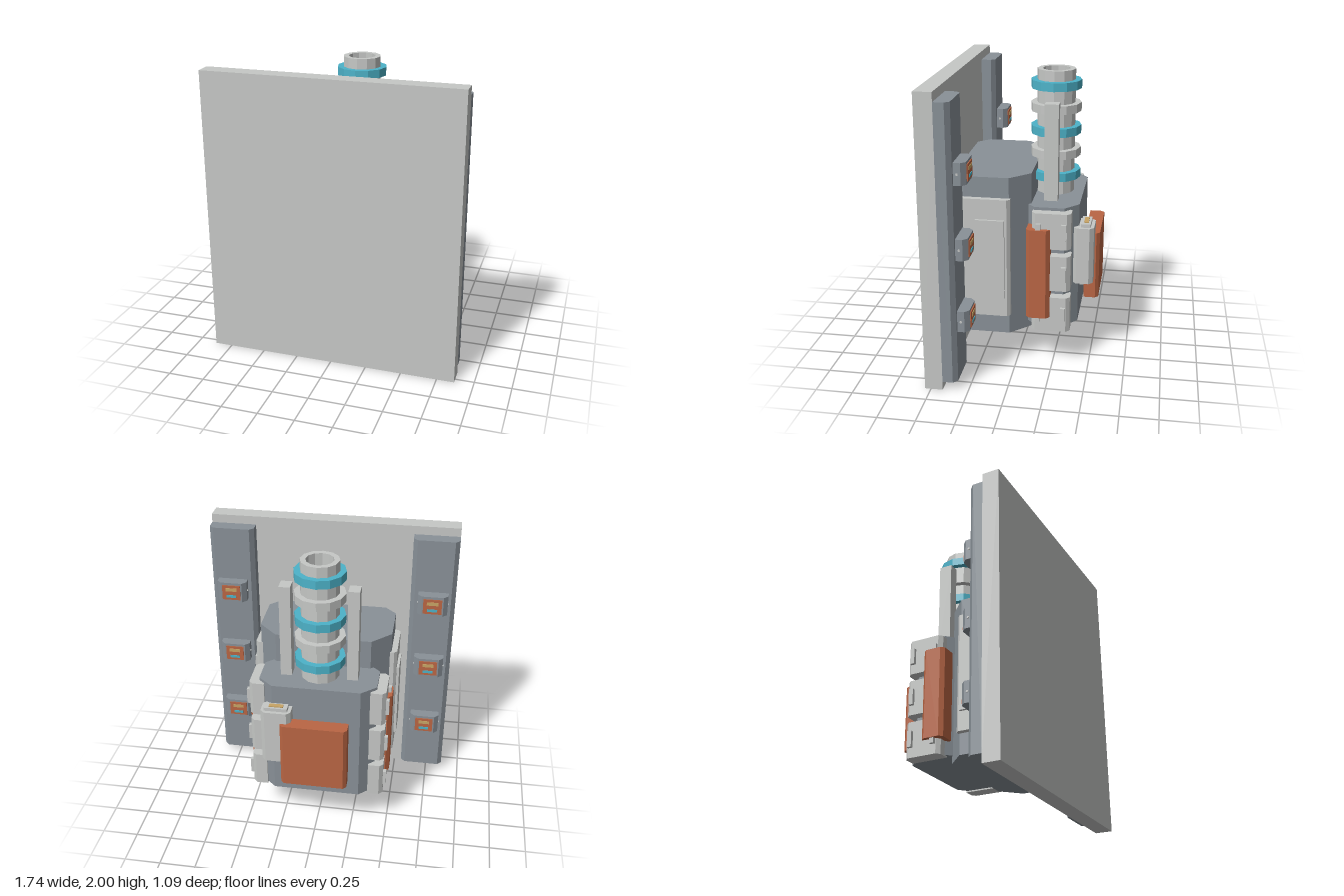
import * as THREE from 'three';

const mat = (name, color) => {
  const m = new THREE.MeshStandardMaterial({ color });
  m.name = name;
  return m;
};

export function createModel() {
  const light = mat('light grey', 0xc6c8c6);
  const dark = mat('slate grey', 0x899198);
  const orange = mat('rust orange', 0xba6644);
  const teal = mat('teal', 0x4db3c9);
  const tan = mat('tan', 0xc8a566);
  const root = new THREE.Group();
  root.name = 'wallMachine';

  const add = (name, geometry, material) => {
    const mesh = new THREE.Mesh(geometry, material);
    mesh.name = name;
    root.add(mesh);
    return mesh;
  };

  // Box given by its limits
  const box = (name, m, x0, x1, y0, y1, z0, z1) => {
    const g = new THREE.BoxGeometry(Math.abs(x1 - x0), y1 - y0, Math.abs(z1 - z0));
    g.translate((x0 + x1) / 2, (y0 + y1) / 2, (z0 + z1) / 2);
    return add(name, g, m);
  };

  // Upright prism from an (x, z) outline
  const prism = (name, m, pts, y0, y1) => {
    const shape = new THREE.Shape(pts.map(([x, z]) => new THREE.Vector2(x, -z)));
    const g = new THREE.ExtrudeGeometry(shape, { depth: y1 - y0, bevelEnabled: false });
    g.rotateX(-Math.PI / 2).translate(0, y0, 0);
    return add(name, g, m);
  };

  // Block whose two rear (-z) vertical edges are chamfered
  const rearBlock = (name, m, x0, x1, y0, y1, zf, zb, c) =>
    prism(name, m, [[x0, zf], [x0, zb + c], [x0 + c, zb], [x1 - c, zb], [x1, zb + c], [x1, zf]], y0, y1);

  // Block on side s whose two outer vertical edges are chamfered
  const sideBlock = (name, m, s, xi, xo, y0, y1, z0, z1, c) =>
    prism(name, m, [[xi, z0], [xo - c, z0], [xo, z0 + c], [xo, z1 - c], [xo - c, z1], [xi, z1]]
      .map(([x, z]) => [s * x, z]), y0, y1);

  // Symmetric outline from its right half
  const mirrored = half => [...half, ...half.map(([x, z]) => [-x, z]).reverse()];

  box('frontPlate', light, -0.87, 0.87, 0, 2, 0.42, 0.54);

  // Main housing and rear housing
  prism('mainHousing', dark, mirrored([[0.33, -0.09], [0.46, 0.04], [0.46, 0.34], [0.38, 0.42]]), 0.24, 1.36);
  prism('rearHousing', dark, mirrored([[0.3, -0.41], [0.4, -0.32], [0.4, -0.12], [0.33, -0.055]]), 0.29, 1.15);

  for (const s of [1, -1]) {
    // Mounting rails with latches
    const [r0, r1] = s > 0 ? [0.555, 0.87] : [-0.87, -0.555];
    rearBlock('rail', dark, r0, r1, 0.06, 1.94, 0.42, 0.32, 0.03);
    const cx = s * 0.715;
    for (const y of [0.485, 0.985, 1.485]) {
      rearBlock('latch', dark, cx - 0.105, cx + 0.105, y - 0.073, y + 0.073, 0.32, 0.243, 0.03);
      box('latchFace', orange, cx - 0.065, cx + 0.065, y - 0.055, y + 0.055, 0.236, 0.243);
      box('latchLabel', tan, cx - 0.04, cx + 0.04, y + 0.012, y + 0.036, 0.232, 0.236);
      box('latchLight', teal, cx - 0.035, cx + 0.035, y - 0.037, y - 0.018, 0.232, 0.236);
      const knob = new THREE.CylinderGeometry(0.008, 0.008, 0.22, 8);
      knob.rotateZ(Math.PI / 2).translate(cx, y, 0.296);
      add('latchPin', knob, light);
    }

    // Raised panels on the main housing
    sideBlock('sidePanel', light, s, 0.45, 0.5, 0.385, 1.22, 0.03, 0.355, 0.02);
    box('sidePanelInset', light, s * 0.49, s * 0.518, 0.52, 1.08, 0.065, 0.26);

    // Clamps with paired knobs on the rear housing
    for (const y of [0.405, 0.705, 1.005]) {
      sideBlock('clamp', light, s, 0.36, 0.465, y - 0.125, y + 0.125, -0.37, -0.11, 0.025);
      for (const z of [-0.325, -0.155])
        box('clampKnob', light, s * 0.455, s * 0.487, y - 0.056, y + 0.056, z - 0.016, z + 0.016);
    }
    sideBlock('sideBar', orange, s, 0.37, 0.496, 0.385, 1.02, -0.235, -0.075, 0.025);

    // Braces beside the column
    box('columnBrace', light, s * 0.188, s * 0.264, 1.13, 1.81, -0.258, -0.164);
  }

  // Open column with rings
  const tube = (name, m, ri, ro, y0, y1) => {
    const pts = [[ri, y0], [ro, y0], [ro, y1], [ri, y1], [ri, y0]].map(p => new THREE.Vector2(...p));
    const g = new THREE.LatheGeometry(pts, 12).toNonIndexed();
    g.computeVertexNormals();
    g.translate(0, 0, -0.21);
    return add(name, g, m);
  };
  tube('column', light, 0.093, 0.13, 1.14, 2);
  [1.28, 1.435, 1.59, 1.745, 1.9].forEach((y, i) =>
    tube('columnRing', i % 2 ? light : teal, 0.12, 0.172, y - 0.029, y + 0.029));

  // Rear hatch on its mount
  box('hatchMount', light, -0.16, 0.16, 0.5, 0.86, -0.45, -0.4);
  rearBlock('rearHatch', orange, -0.228, 0.228, 0.44, 0.92, -0.443, -0.545, 0.022);

  // Control box with a lid and a label
  prism('controlBox', light, [[0.158, -0.4], [0.158, -0.485], [0.185, -0.513], [0.335, -0.513],
    [0.363, -0.485], [0.363, -0.4], [0.34, -0.378], [0.18, -0.378]], 0.6, 1);
  box('controlLid', light, 0.182, 0.34, 0.99, 1.024, -0.49, -0.425);
  box('controlLabel', tan, 0.212, 0.308, 1.024, 1.031, -0.474, -0.443);

  return root;
}
